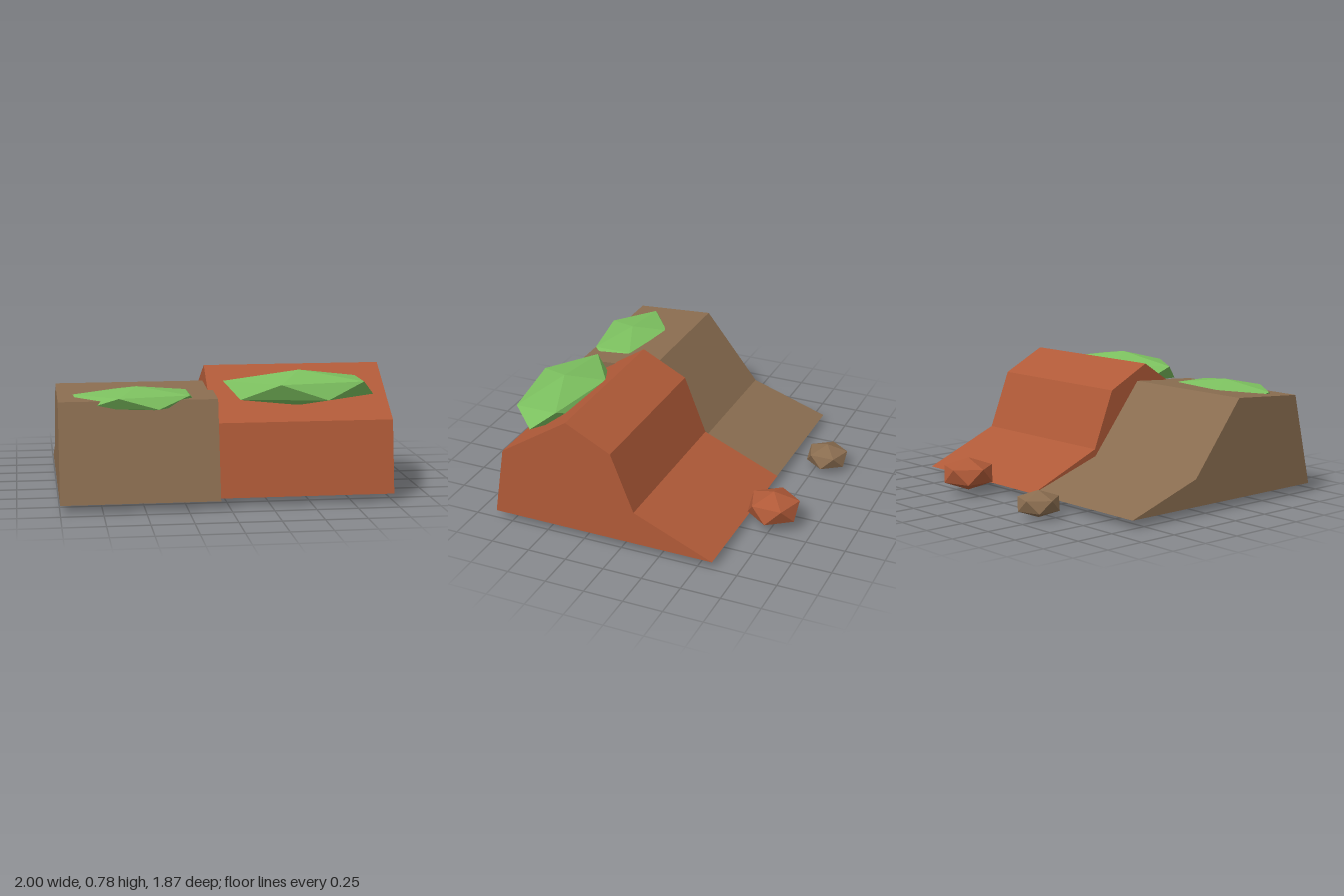
import * as THREE from 'three';
import { ConvexGeometry } from 'three/addons/geometries/ConvexGeometry.js';

function material(name, color) {
  const m = new THREE.MeshStandardMaterial({ color });
  m.name = name;
  return m;
}

// Cliff block: a (z, y) side profile extruded across x
function cliff(name, profile, xMin, xMax, mat) {
  const shape = new THREE.Shape(profile.map(([z, y]) => new THREE.Vector2(z, y)));
  const geo = new THREE.ExtrudeGeometry(shape, { depth: xMax - xMin, bevelEnabled: false });
  geo.rotateY(-Math.PI / 2).translate(xMax, 0, 0);
  const mesh = new THREE.Mesh(geo, mat);
  mesh.name = name;
  return mesh;
}

// Twenty-sided lump: two poles and two staggered rings of five
function lump(name, center, radii, mat) {
  const points = [new THREE.Vector3(0, 1, 0), new THREE.Vector3(0, -1, 0)];
  const ringY = 1 / Math.sqrt(5);
  for (let i = 0; i < 5; i++) {
    const a = (i * Math.PI * 2) / 5;
    const x = 2 * ringY * Math.cos(a);
    const z = 2 * ringY * Math.sin(a);
    points.push(new THREE.Vector3(-x, ringY, z), new THREE.Vector3(x, -ringY, z));
  }
  const scale = new THREE.Vector3(...radii);
  const mesh = new THREE.Mesh(new ConvexGeometry(points.map((p) => p.multiply(scale))), mat);
  mesh.position.set(...center);
  mesh.name = name;
  return mesh;
}

export function createModel() {
  const clay = material('red clay', 0xb05a38);
  const earth = material('brown earth', 0x8a6d50);
  const leaf = material('leaf green', 0x7cc05f);

  const model = new THREE.Group();
  model.name = 'rockyCliff';
  model.add(
    // Stepped cliff halves
    cliff('redCliff', [[0.86, 0.05], [0.79, 0.49], [0.35, 0.777], [0.06, 0.63], [-0.085, 0.265], [-0.592, 0.05]], -0.09, 1, clay),
    cliff('brownCliff', [[0.93, 0.05], [0.787, 0.635], [0.28, 0.67], [-0.08, 0.22], [-0.59, 0.05]], -1, -0.058, earth),
    // Bushes on the ledges
    lump('largeBush', [0.45, 0.673, 0.643], [0.515, 0.108, 0.253], leaf),
    lump('smallBush', [-0.53, 0.622, 0.643], [0.425, 0.077, 0.235], leaf),
    // Loose rocks at the foot of the slope
    lump('redRock', [0.38, 0.125, -0.742], [0.178, 0.105, 0.178], clay),
    lump('brownRock', [-0.42, 0.083, -0.815], [0.145, 0.083, 0.146], earth),
  );
  return model;
}
